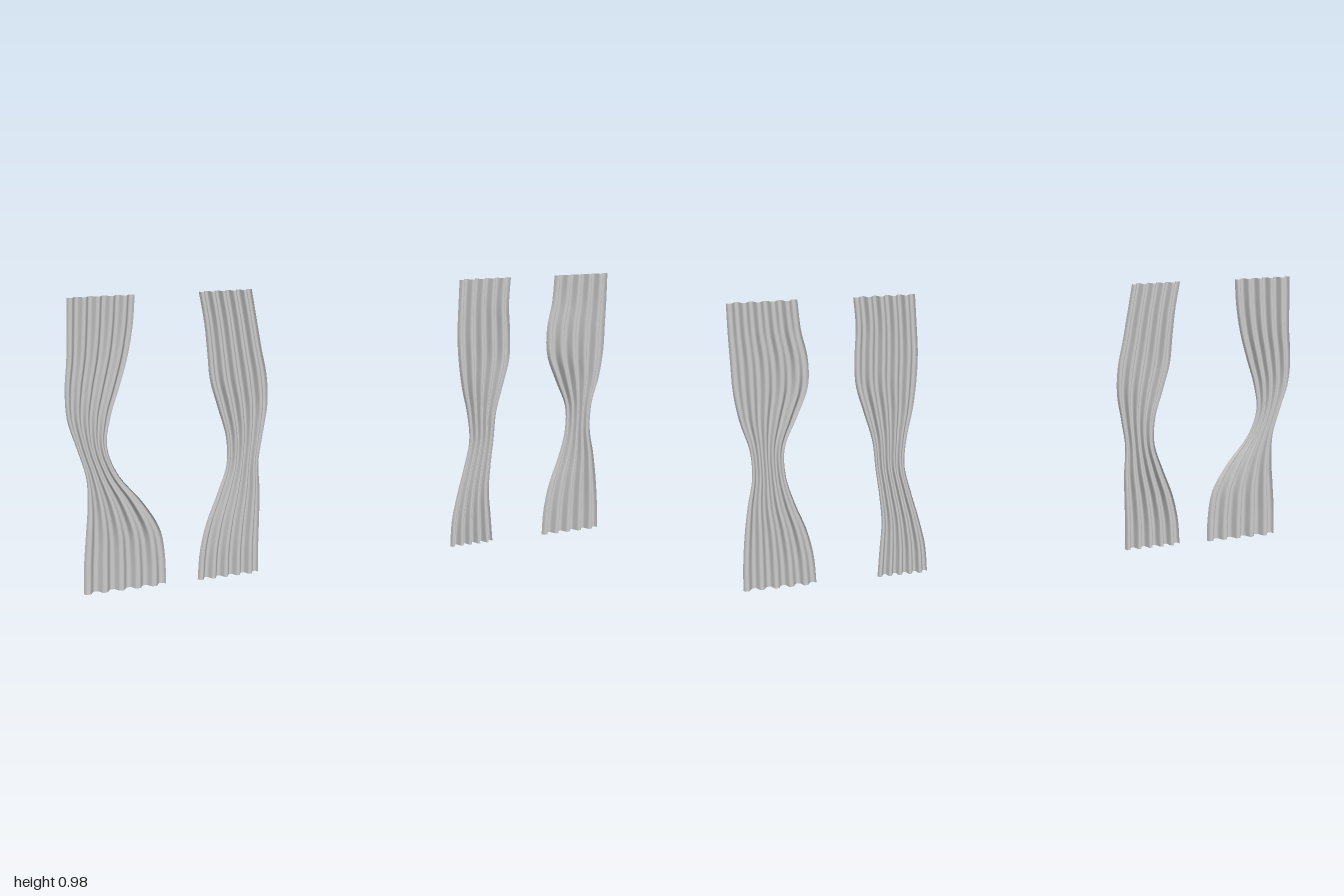
import * as THREE from 'three';

const HEIGHT = 0.975, PLEATS = 5, COLS = 80, ROWS = 48, DEPTH = 0.0115;

// Left and right outlines (x) at eleven even heights, from hem to top
const PANELS = [
  { name: 'outerRightCurtain',
    a: [-0.97, -0.965, -0.955, -0.945, -0.945, -0.97, -0.997, -1.0, -0.99, -0.985, -0.98],
    b: [-0.695, -0.695, -0.71, -0.765, -0.84, -0.873, -0.858, -0.825, -0.795, -0.775, -0.765] },
  { name: 'innerRightCurtain',
    a: [-0.585, -0.575, -0.55, -0.51, -0.475, -0.475, -0.5, -0.525, -0.532, -0.54, -0.555],
    b: [-0.37, -0.368, -0.363, -0.36, -0.362, -0.345, -0.327, -0.328, -0.345, -0.36, -0.375] },
  { name: 'innerLeftCurtain',
    a: [0.37, 0.375, 0.395, 0.42, 0.44, 0.43, 0.407, 0.392, 0.385, 0.387, 0.39],
    b: [0.545, 0.535, 0.525, 0.53, 0.54, 0.548, 0.573, 0.597, 0.597, 0.59, 0.595] },
  { name: 'outerLeftCurtain',
    a: [0.755, 0.76, 0.78, 0.815, 0.84, 0.838, 0.795, 0.755, 0.75, 0.768, 0.775],
    b: [1.0, 0.995, 0.985, 0.97, 0.95, 0.953, 0.98, 0.995, 0.998, 1.0, 1.0] },
];

const outline = (xs) => new THREE.SplineCurve(
  xs.map((x, i) => new THREE.Vector2(x, (HEIGHT * i) / (xs.length - 1))));

// Pleat cross-section: rounded trapezoid wave
const wave = (u) => THREE.MathUtils.clamp(1.5 * Math.sin(u * PLEATS * Math.PI * 2), -1, 1);

function curtain({ name, a, b }, material) {
  const left = outline(a), right = outline(b);
  const widest = Math.max(...a.map((x, i) => b[i] - x));
  const geometry = new THREE.PlaneGeometry(1, 1, COLS, ROWS);
  const pos = geometry.attributes.position;
  for (let r = 0; r <= ROWS; r++) {
    const p = left.getPoint(1 - r / ROWS), q = right.getPoint(1 - r / ROWS);
    // The folds get shallower where the cloth is gathered
    const fullness = Math.min(1, ((q.x - p.x) / widest) * 1.2);
    for (let c = 0; c <= COLS; c++) {
      const u = c / COLS;
      pos.setXYZ(r * (COLS + 1) + c, p.x + (q.x - p.x) * u, p.y, DEPTH * fullness * wave(u));
    }
  }
  geometry.computeVertexNormals();
  const mesh = new THREE.Mesh(geometry, material);
  mesh.name = name;
  return mesh;
}

export function createModel() {
  const group = new THREE.Group();
  group.name = 'curtains';
  const cloth = new THREE.MeshStandardMaterial({ color: 0xcccccc, side: THREE.DoubleSide });
  for (const panel of PANELS) group.add(curtain(panel, cloth));
  return group;
}
